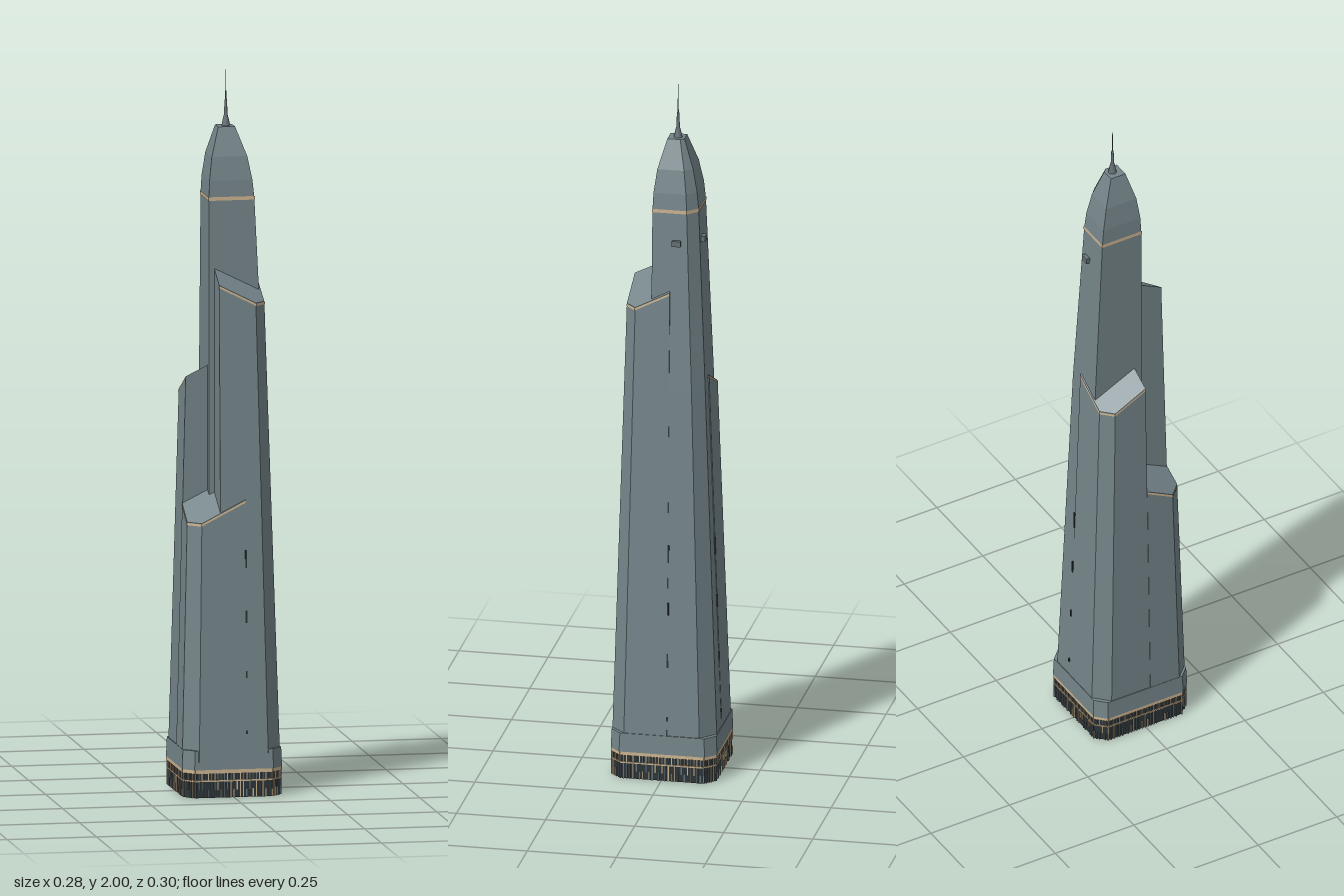
import * as THREE from 'three';

const paint = (name, color) => {
  const m = new THREE.MeshStandardMaterial({ color });
  m.name = name;
  return m;
};

export function createModel() {
  const slate = paint('slate cladding', 0x75858a);
  const tan = paint('tan trim', 0xcdb590);
  const dark = paint('dark glass', 0x2c3539);
  const brown = paint('brown soffit', 0x80735f);
  const steel = paint('steel', 0x667176);
  const tower = new THREE.Group();
  tower.name = 'tower';

  const add = (name, geometry, material, parent = tower) => {
    const mesh = new THREE.Mesh(geometry, material);
    mesh.name = name;
    parent.add(mesh);
    return mesh;
  };

  // Flat-faced solid through rings of [x, y, z]; "sides" limits it to an open strip
  function loft(rings, { cap = true, sides = rings[0].length } = {}) {
    const pos = [];
    const tri = (a, b, c) => pos.push(...a, ...b, ...c);
    const n = rings[0].length;
    for (let k = 0; k + 1 < rings.length; k++) {
      const a = rings[k], b = rings[k + 1];
      for (let i = 0; i < sides; i++) {
        const j = (i + 1) % n;
        tri(a[i], a[j], b[j]);
        tri(a[i], b[j], b[i]);
      }
    }
    const top = rings[rings.length - 1];
    if (cap) for (let i = 1; i + 1 < n; i++) tri(top[0], top[i], top[i + 1]);
    const g = new THREE.BufferGeometry();
    g.setAttribute('position', new THREE.Float32BufferAttribute(pos, 3));
    g.computeVertexNormals();
    return g;
  }

  // Tapered envelope of the wings at height y, grown outward by e
  const envelope = (y, e) => ({
    r: 0.139 - 0.031 * y + e,
    l: -0.139 + 0.0245 * y - e,
    f: 0.149 - 0.028 * y + e,
    b: -0.152 + 0.0345 * y - e,
    c: 0.041 - 0.0085 * y,
  });

  // Three corner wings, each cut by a plane falling toward its own corner
  const wings = [
    { name: 'front right wing', e: 0, top: (x, z) => 1.4575 - 0.5 * x - 0.5 * z,
      section: ({ r, f, c }) => [[-0.035, f], [r - c, f], [r, f - c], [r, -0.015], [-0.035, -0.015]] },
    { name: 'front left wing', e: 0.0015, top: (x, z) => 0.87 + 0.5 * x - 0.5 * z,
      section: ({ l, f, c }) => [[l, 0.015], [l, f - c], [l + c, f], [0.035, f], [0.035, 0.015]] },
    { name: 'back left wing', e: 0, top: (x, z) => 1.2025 + 0.5 * x + 0.5 * z,
      section: ({ l, b, c }) => [[0.028, b], [l + c, b], [l, b + c], [l, 0.015], [0.028, 0.015]] },
  ];
  for (const { name, e, top, section } of wings) {
    const flat = (y) => section(envelope(y, e)).map(([x, z]) => [x, y, z]);
    const cut = (drop, grow) => flat(1).map((_, i) => {
      let y = 1, p;
      for (let k = 0; k < 8; k++) {
        p = section(envelope(y, e + grow))[i];
        y = top(p[0], p[1]) - drop;
      }
      return [p[0], y, p[1]];
    });
    add(name, loft([flat(0.1), cut(0, 0)]), slate);
    add(name + ' trim', loft([cut(0.007, 0.001), cut(0.001, 0.001)], { cap: false, sides: 3 }), tan);
  }

  // Core shaft and tapering crown, chamfered on the back right corner
  const ring = ([y, l, r, f, b, c], e = 0) => [
    [l - e, f + e], [r + e, f + e], [r + e, b + c], [r - c, b - e], [l - e, b - e],
  ].map(([x, z]) => [x, y, z]);
  const shoulder = [1.65, -0.05, 0.077, 0.037, -0.087, 0.028];
  add('core shaft', loft([
    [0.1, -0.05, 0.135, 0.037, -0.148, 0.041],
    [1.13, -0.05, 0.103, 0.037, -0.11, 0.032],
    shoulder,
  ].map((s) => ring(s)), { cap: false }), slate);
  add('crown', loft([
    shoulder,
    [1.7, -0.048, 0.072, 0.035, -0.082, 0.026],
    [1.765, -0.04, 0.059, 0.027, -0.069, 0.021],
    [1.845, -0.018, 0.029, 0.005, -0.041, 0.01],
  ].map((s) => ring(s)), {}), slate);
  const at = (y) => [y, ...shoulder.slice(1)];
  add('crown trim', loft([ring(at(1.645), 0.0015), ring(at(1.655), 0.0015)], { cap: false }), tan);

  // Spire
  const spire = add('spire', new THREE.LatheGeometry([
    [0.012, 0], [0.009, 0.015], [0.005, 0.03], [0.0035, 0.07], [0.0018, 0.075], [0.0003, 0.155],
  ].map(([r, y]) => new THREE.Vector2(r, y)), 8), steel);
  spire.position.set(0.008, 1.845, -0.021);

  // Small equipment boxes high on the shaft
  add('right equipment box', new THREE.BoxGeometry(0.016, 0.016, 0.024), steel).position.set(0.083, 1.56, -0.032);
  add('back equipment box', new THREE.BoxGeometry(0.024, 0.016, 0.016), steel).position.set(0.024, 1.56, -0.094);

  // Slots along the seams between the wings
  const slots = new THREE.Group();
  slots.name = 'seam slots';
  tower.add(slots);
  [[0.66, 0.05], [0.5, 0.035], [0.34, 0.02], [0.18, 0.01]].forEach(([y, h]) => {
    const { r, f, b } = envelope(y, 0);
    const place = (x, z) => add('slot', new THREE.BoxGeometry(0.005, h, 0.005), dark, slots).position.set(x, y, z);
    place(0.036, f);
    place(0.029, b);
    place(r - 0.001, -0.016);
  });

  // Octagonal base
  const octagon = (y, e = 0) => {
    const l = -0.14 - e, r = 0.139 + e, f = 0.147 + e, b = -0.151 - e, c = 0.029;
    return [[l + c, f], [r - c, f], [r, f - c], [r, b + c], [r - c, b], [l + c, b], [l, b + c], [l, f - c]]
      .map(([x, z]) => [x, y, z]);
  };
  add('collar', loft([octagon(0.078), octagon(0.132, -0.002)]), slate);
  add('soffit', loft([octagon(0.076).reverse()], {}), brown);
  dark.side = THREE.DoubleSide;
  add('podium glass', loft([octagon(0, -0.004), octagon(0.078, -0.004)], { cap: false }), dark);

  // Podium bands and irregular posts along each side of the octagon
  let seed = 7;
  const random = () => (seed = (seed * 16807) % 2147483647) / 2147483647;
  const lattice = new THREE.Group();
  lattice.name = 'podium lattice';
  tower.add(lattice);
  const corners = octagon(0, -0.003);
  corners.forEach((a, i) => {
    const b = corners[(i + 1) % 8];
    const dx = b[0] - a[0], dz = b[2] - a[2];
    const length = Math.hypot(dx, dz);
    const bar = (name, t, y, w, h, depth, material) => {
      const m = add(name, new THREE.BoxGeometry(w, h, depth), material, lattice);
      m.position.set(a[0] + dx * t, y, a[2] + dz * t);
      m.rotation.y = Math.atan2(-dz, dx);
    };
    bar('upper band', 0.5, 0.073, length, 0.01, 0.006, tan);
    bar('middle band', 0.5, 0.047, length, 0.004, 0.005, tan);
    const n = Math.round(length / 0.009);
    for (let k = 0; k <= n; k++) {
      bar('upper post', k / n, 0.058, 0.0025, 0.022, 0.004, k % 2 ? steel : tan);
      const h = random() < 0.6 ? 0.046 : 0.024;
      bar('lower post', k / n, random() < 0.5 ? h / 2 : 0.046 - h / 2, 0.002 + 0.002 * random(), h, 0.0045,
        random() < 0.45 ? tan : steel);
    }
  });

  return tower;
}
